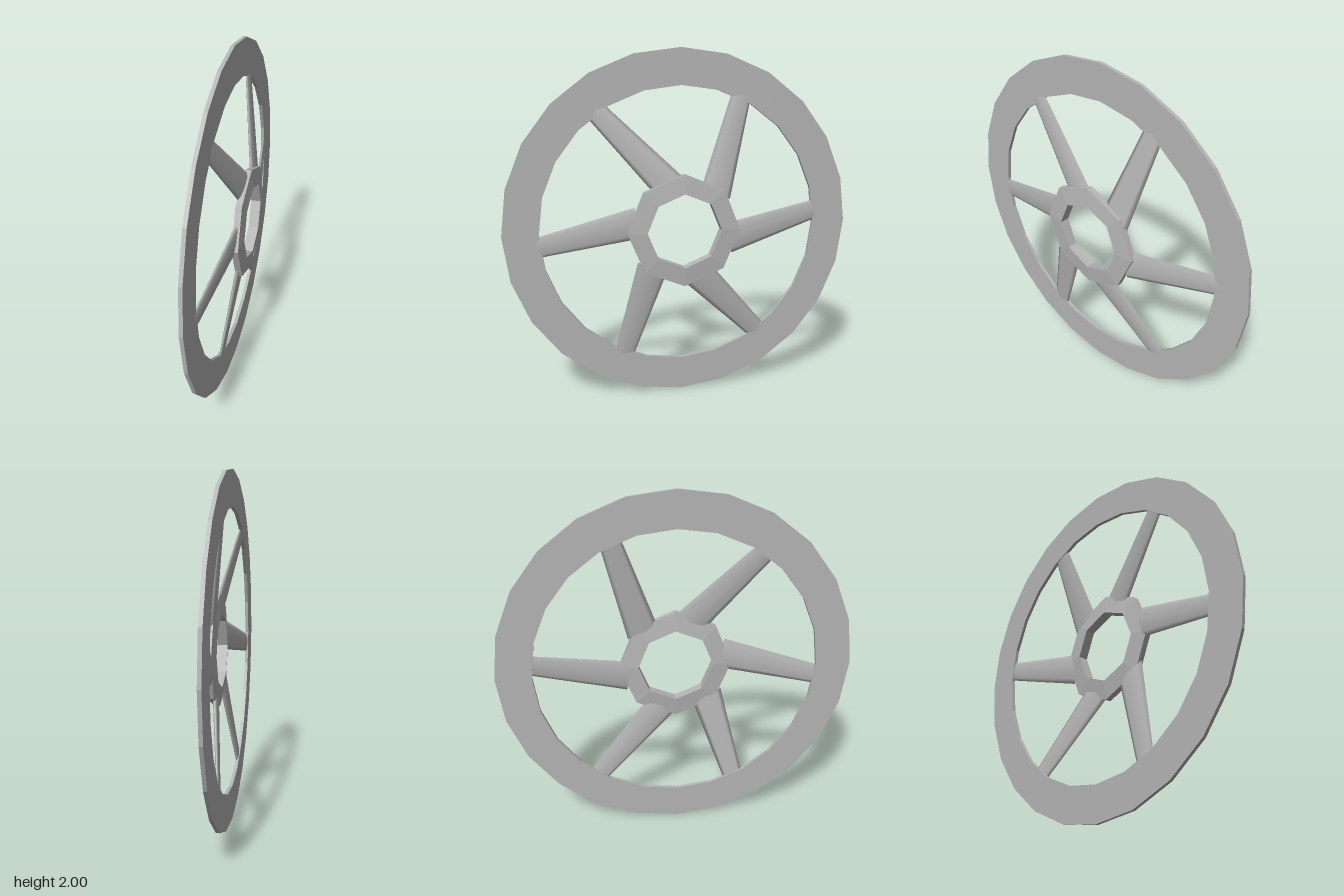
import * as THREE from 'three';

const gray = new THREE.MeshStandardMaterial({ color: 0xb6b6b6 });
gray.name = 'gray metal';

// Faceted ring around the x axis from a closed [radius, x] section
function ring(name, section, sides) {
  const points = [...section, section[0]].map(([r, x]) => new THREE.Vector2(r, x));
  const geometry = new THREE.LatheGeometry(points, sides).toNonIndexed();
  geometry.computeVertexNormals();
  geometry.rotateZ(-Math.PI / 2);
  const mesh = new THREE.Mesh(geometry, gray);
  mesh.name = name;
  return mesh;
}

// Flattened, tapered bar from the hub out and back to the rim
function spokeGeometry() {
  const start = new THREE.Vector3(0.025, -0.057, -0.26);
  const end = new THREE.Vector3(-0.05, 0.075, -0.82);
  const along = end.clone().sub(start);
  const geometry = new THREE.CylinderGeometry(0.057, 0.09, along.length(), 8, 1);
  geometry.scale(0.17, 1, 1);
  along.normalize();
  const across = along.clone().cross(new THREE.Vector3(1, 0, 0)).normalize();
  const thick = along.clone().cross(across);
  const matrix = new THREE.Matrix4().makeBasis(thick, along, across);
  matrix.setPosition(start.add(end).multiplyScalar(0.5));
  return geometry.applyMatrix4(matrix);
}

export function createModel() {
  const model = new THREE.Group();
  model.name = 'wheel';
  const wheel = new THREE.Group();
  wheel.name = 'wheelParts';
  wheel.position.y = 1;
  model.add(wheel);

  // Flat outer rim
  wheel.add(ring('rim', [[0.8, -0.06], [1, -0.06], [1, -0.04], [0.8, -0.04]], 24));

  // Octagonal hub, thicker toward its hole
  wheel.add(ring('hub', [[0.213, 0], [0.322, 0.013], [0.322, 0.048], [0.213, 0.058]], 8));

  // Six slightly tangential spokes
  const geometry = spokeGeometry();
  for (let i = 0; i < 6; i++) {
    const spoke = new THREE.Mesh(geometry, gray);
    spoke.name = 'spoke' + (i + 1);
    spoke.rotation.x = (i * Math.PI) / 3;
    wheel.add(spoke);
  }
  return model;
}
